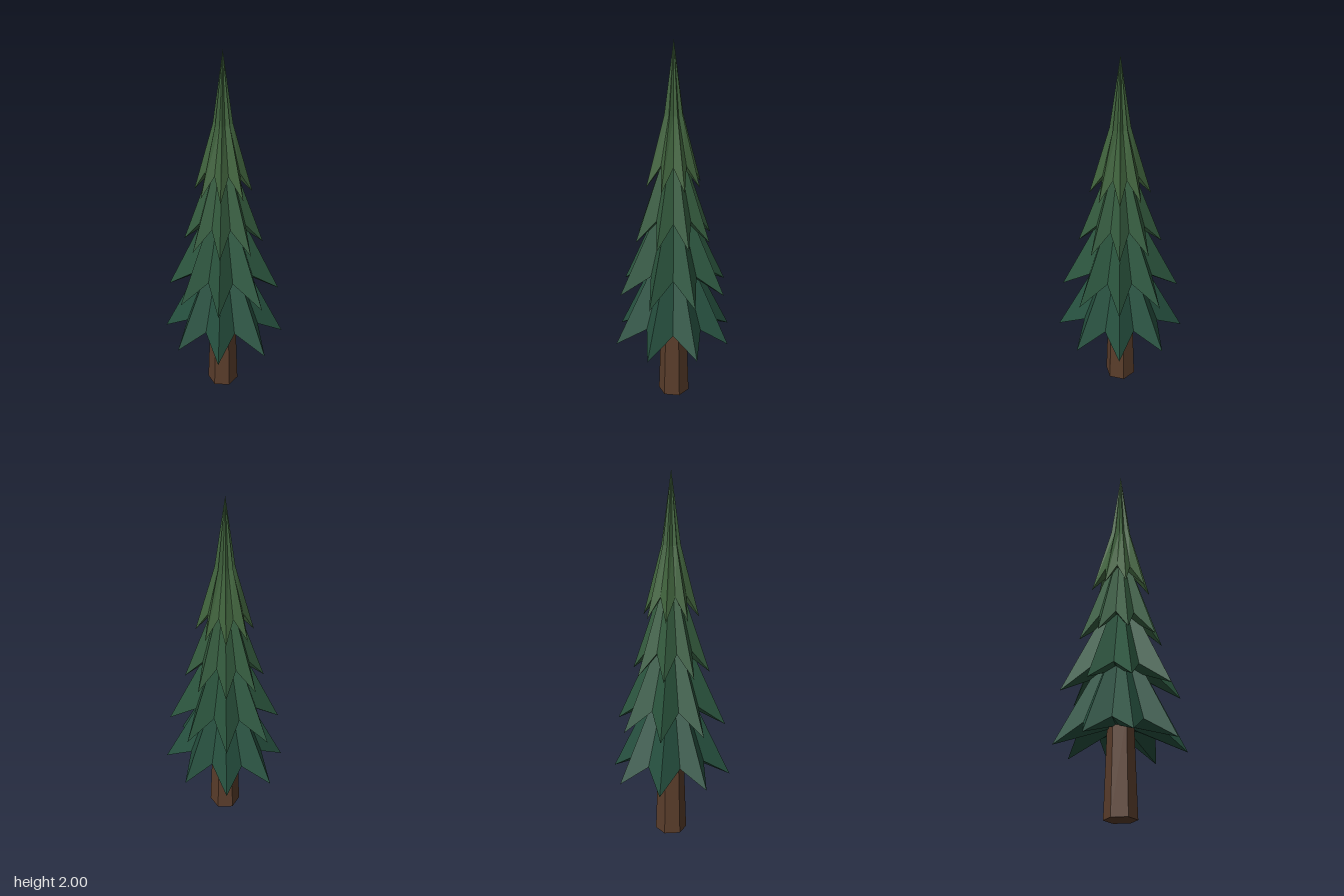
import * as THREE from 'three';

const POINTS = 8;
// Slight unevenness of the branch tips and notches, going round from the front
const TIP_VARIATION = [1.015, 1.05, 1.005, 0.965, 1, 1.04, 0.975, 0.975];
const NOTCH_VARIATION = [0.97, 1.03, 0.99, 0.95, 1.065, 1.04, 0.99, 0.975];

// One ring of alternating tips and notches
function starRing(tipR, tipY, notchR, notchY) {
  const ring = [];
  for (let i = 0; i < POINTS * 2; i++) {
    const a = (i * Math.PI) / POINTS;
    const k = i >> 1;
    const tip = i % 2 === 0;
    const r = tip ? tipR * TIP_VARIATION[k] : notchR * NOTCH_VARIATION[k];
    ring.push(new THREE.Vector3(Math.sin(a) * r, tip ? tipY : notchY, Math.cos(a) * r));
  }
  return ring;
}

// Skin a stack of rings with faceted triangles
function skinRings(rings) {
  const points = [];
  for (let j = 0; j < rings.length - 1; j++) {
    const a = rings[j], b = rings[j + 1];
    for (let i = 0; i < a.length; i++) {
      const n = (i + 1) % a.length;
      points.push(a[i], a[n], b[n]);
      if (b[i].distanceTo(b[n]) > 1e-6) points.push(a[i], b[n], b[i]);
    }
  }
  const geometry = new THREE.BufferGeometry().setFromPoints(points);
  geometry.computeVertexNormals();
  return geometry;
}

function material(color) {
  return new THREE.MeshStandardMaterial({ color, flatShading: true });
}

export function createModel() {
  const tree = new THREE.Group();
  tree.name = 'pineTree';

  // Six-sided tapering trunk
  const trunkGeometry = new THREE.CylinderGeometry(0.068, 0.086, 0.52, 6);
  trunkGeometry.rotateY(Math.PI / 6).translate(0, 0.26, 0);
  const trunk = new THREE.Mesh(trunkGeometry, material(0x5a3d2b));
  trunk.name = 'trunk';
  tree.add(trunk);

  // Star-shaped foliage tiers, lowest first; the top one steepens into a spire
  const tiers = [
    { tip: [0.334, 0.36], notch: [0.211, 0.46], apex: 1.03, color: 0x26503f },
    { tip: [0.305, 0.65], notch: [0.175, 0.765], apex: 1.3, color: 0x2b553e },
    { tip: [0.214, 0.945], notch: [0.13, 1.07], apex: 1.56, color: 0x345b3e },
    { tip: [0.153, 1.245], notch: [0.095, 1.365], apex: 2, color: 0x40633d, waist: [0.052, 0.036, 1.62] },
  ];
  tiers.forEach(({ tip, notch, apex, color, waist }, i) => {
    const rings = [
      starRing(0.04, notch[1] + 0.01, 0.04, notch[1] + 0.01), // underside centre
      starRing(...tip, ...notch),
    ];
    if (waist) rings.push(starRing(waist[0], waist[2], waist[1], waist[2]));
    rings.push(starRing(0, apex, 0, apex));
    const tier = new THREE.Mesh(skinRings(rings), material(color));
    tier.name = `foliageTier${i + 1}`;
    tree.add(tier);
  });

  tree.position.x = -0.006;
  return tree;
}
